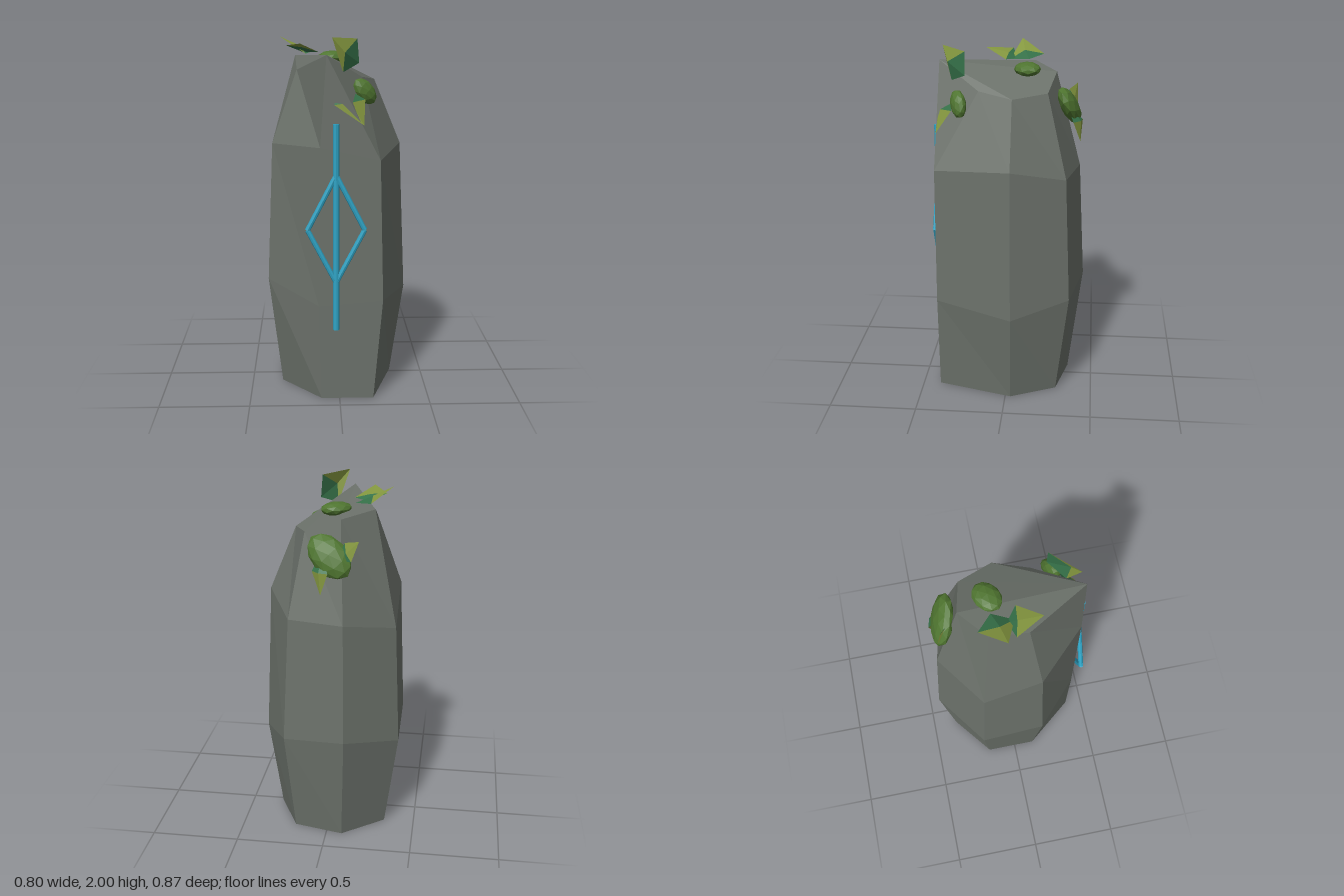
import * as THREE from 'three';

const material = (name, color, side = THREE.FrontSide) => {
  const m = new THREE.MeshStandardMaterial({ color, side, flatShading: true });
  m.name = name;
  return m;
};

const V = (p) => new THREE.Vector3(...p);

function meshFromTriangles(name, triangles, mat) {
  const geometry = new THREE.BufferGeometry();
  geometry.setAttribute('position', new THREE.Float32BufferAttribute(triangles.flat(2), 3));
  geometry.computeVertexNormals();
  const mesh = new THREE.Mesh(geometry, mat);
  mesh.name = name;
  return mesh;
}

export function createModel() {
  const group = new THREE.Group();
  group.name = 'standingStone';

  const stone = material('stone grey', 0x6b716a);
  const moss = material('moss green', 0x4f7530);
  const lightLeaf = material('olive leaf', 0x84973f, THREE.DoubleSide);
  const darkLeaf = material('deep green leaf', 0x357048, THREE.DoubleSide);
  const glow = material('rune blue', 0x2fa3c4);

  // Seven-sided stone body, rings from the ground to the slanted top,
  // each starting at the front right corner of the stone
  const rings = [
    [[-0.1, 0, 0.4], [0.19, 0, 0.4], [0.315, 0, -0.03], [0.19, 0, -0.29],
      [-0.09, 0, -0.355], [-0.325, 0, -0.17], [-0.325, 0, 0.12]],
    [[-0.115, 0.54, 0.4], [0.24, 0.57, 0.4], [0.395, 0.53, -0.035], [0.24, 0.6, -0.36],
      [-0.11, 0.63, -0.435], [-0.4, 0.56, -0.21], [-0.4, 0.63, 0.15]],
    [[-0.105, 1.42, 0.4], [0.22, 1.35, 0.4], [0.36, 1.39, -0.03], [0.21, 1.31, -0.33],
      [-0.1, 1.31, -0.4], [-0.37, 1.24, -0.19], [-0.37, 1.41, 0.13]],
    [[-0.07, 1.91, 0.4], [0.13, 1.78, 0.16], [0.21, 1.755, -0.03], [0.13, 1.775, -0.22],
      [-0.07, 1.855, -0.26], [-0.24, 1.885, -0.13], [-0.23, 1.815, 0.08]],
  ];
  const faces = [];
  for (let r = 0; r < 3; r++) {
    for (let i = 0; i < 7; i++) {
      const j = (i + 1) % 7;
      const [a, b, c, d] = [rings[r][i], rings[r][j], rings[r + 1][j], rings[r + 1][i]];
      faces.push([a, b, d], [b, c, d]);
    }
  }
  for (let i = 1; i < 6; i++) {
    faces.push([rings[3][0], rings[3][i], rings[3][i + 1]]);
    faces.push([rings[0][0], rings[0][i + 1], rings[0][i]]);
  }
  group.add(meshFromTriangles('stoneBody', faces, stone));

  // Glowing rune on the front: a long bar crossing a diamond
  const rune = new THREE.Group();
  rune.name = 'rune';
  const bar = (name, from, to, radius) => {
    const a = V(from), b = V(to);
    const mesh = new THREE.Mesh(new THREE.CylinderGeometry(radius, radius, a.distanceTo(b), 8), glow);
    mesh.position.copy(a).add(b).multiplyScalar(0.5);
    mesh.quaternion.setFromUnitVectors(new THREE.Vector3(0, 1, 0), b.sub(a).normalize());
    mesh.name = name;
    rune.add(mesh);
  };
  bar('runeBar', [-0.02, 0.41, 0.415], [-0.02, 1.55, 0.415], 0.017);
  for (const x of [-0.175, 0.135]) {
    for (const y of [0.68, 1.275]) bar('runeDiamondSide', [x, 0.975, 0.415], [-0.02, y, 0.415], 0.014);
  }
  group.add(rune);

  // Faceted moss cushions: centre, long axis, surface normal, half sizes
  const cushion = (name, center, along, normal, size) => {
    const x = V(along).normalize();
    const y = V(normal).cross(x).normalize();
    const z = x.clone().cross(y);
    const mesh = new THREE.Mesh(new THREE.IcosahedronGeometry(1, 1), moss);
    mesh.quaternion.setFromRotationMatrix(new THREE.Matrix4().makeBasis(x, y, z));
    mesh.position.set(...center);
    mesh.scale.set(...size);
    mesh.name = name;
    group.add(mesh);
  };
  cushion('backMoss', [-0.02, 1.675, -0.335], [0.2, 0.18, 0.08], [0, 0.45, -0.9], [0.145, 0.095, 0.05]);
  cushion('topMoss', [-0.025, 1.875, -0.097], [0.8, 0, -0.5], [0.1, 1, 0], [0.09, 0.07, 0.038]);
  cushion('frontMoss', [0.14, 1.71, 0.27], [0.5, -0.6, -0.2], [0.45, 0.25, 0.85], [0.085, 0.055, 0.04]);

  // Folded two-tone leaves: light side corner, fold ends, dark side corner, raised centre
  const leaf = (name, light, foldA, foldB, dark, center) => {
    const g = new THREE.Group();
    g.name = name;
    g.add(meshFromTriangles('lightHalf', [[light, foldA, center], [light, center, foldB]], lightLeaf));
    g.add(meshFromTriangles('darkHalf', [[dark, center, foldA], [dark, foldB, center]], darkLeaf));
    group.add(g);
  };
  leaf('topLeaf', [-0.33, 1.995, -0.05], [-0.22, 1.925, -0.18], [-0.18, 1.9, 0.01],
    [-0.13, 1.91, -0.1], [-0.22, 1.945, -0.07]);
  leaf('topFrontLeaf', [-0.21, 1.96, 0.15], [-0.29, 1.945, 0], [-0.11, 1.91, 0.03],
    [-0.19, 1.905, -0.03], [-0.2, 1.935, 0.02]);
  leaf('upperFrontLeaf', [-0.04, 2, 0.375], [0.1, 1.99, 0.235], [0.02, 1.815, 0.32],
    [0.11, 1.86, 0.235], [0.03, 1.92, 0.34]);
  leaf('lowerFrontLeaf', [0.13, 1.54, 0.4], [-0.03, 1.65, 0.41], [0.14, 1.67, 0.31],
    [0, 1.75, 0.32], [0.06, 1.66, 0.39]);
  leaf('lowerBackLeaf', [0.02, 1.48, -0.4], [-0.02, 1.6, -0.41], [0.07, 1.6, -0.36],
    [0.02, 1.7, -0.32], [0.03, 1.6, -0.4]);
  leaf('sideBackLeaf', [-0.18, 1.77, -0.375], [-0.1, 1.75, -0.33], [-0.14, 1.66, -0.38],
    [-0.06, 1.66, -0.34], [-0.11, 1.7, -0.36]);

  return group;
}
